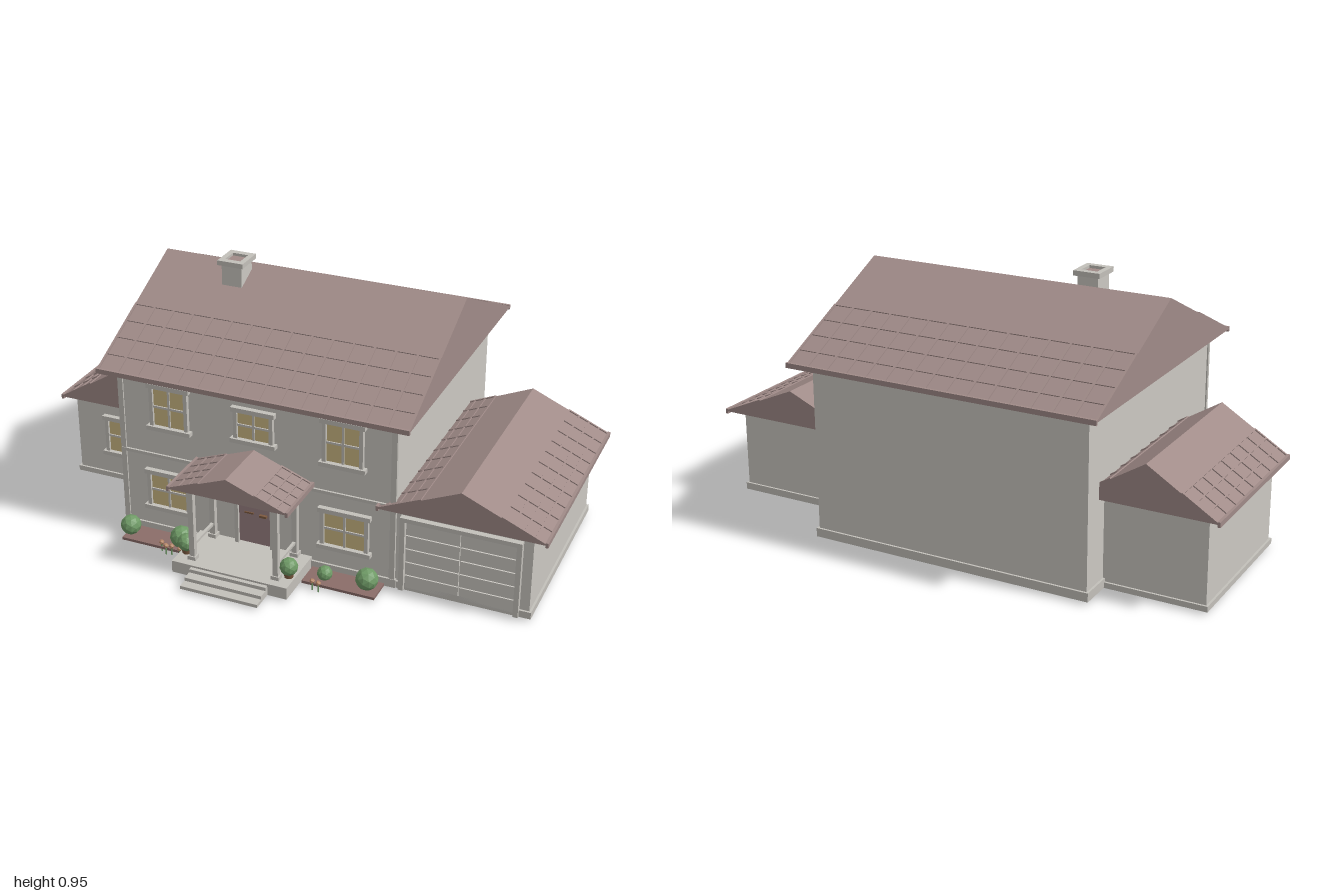
import * as THREE from 'three';
import { mergeGeometries } from 'three/addons/utils/BufferGeometryUtils.js';

function mat(name, color) {
  const m = new THREE.MeshStandardMaterial({ color });
  m.name = name;
  return m;
}

export function createModel() {
  const wall = mat('wall', 0xcbc8c2), trim = mat('trim', 0xc3c0ba), roofMat = mat('roof', 0xa08b88);
  const doorMat = mat('door', 0x9a8082), glass = mat('glass', 0xcdb984), leaf = mat('leaf', 0x6f9a66);
  const soil = mat('soil', 0x8b6d69), lampMat = mat('lamp', 0x7d5a40), petal = mat('petal', 0xb98a6a);
  leaf.flatShading = true;
  const house = new THREE.Group();
  house.name = 'house';

  const add = (geo, m, name, x = 0, y = 0, z = 0, parent = house) => {
    const mesh = new THREE.Mesh(geo, m);
    mesh.name = name;
    mesh.position.set(x, y, z);
    parent.add(mesh);
    return mesh;
  };
  // box given by its limits on each axis
  const span = (name, m, x0, x1, y0, y1, z0, z1, parent = house) =>
    add(new THREE.BoxGeometry(x1 - x0, y1 - y0, z1 - z0), m, name,
      (x0 + x1) / 2, (y0 + y1) / 2, (z0 + z1) / 2, parent);
  const group = (name, x = 0, y = 0, z = 0) => {
    const g = new THREE.Group();
    g.name = name;
    g.position.set(x, y, z);
    house.add(g);
    return g;
  };

  // gable roof with its ridge along z and raised tile joints on the lower slopes
  function gableRoof(name, a, h, len, cols, rows, cover) {
    const g = group(name);
    const tri = new THREE.Shape([[-a, 0], [a, 0], [0, h]].map(p => new THREE.Vector2(...p)));
    const prism = new THREE.ExtrudeGeometry(tri, { depth: len, bevelEnabled: false });
    add(prism.translate(0, 0, -len / 2), roofMat, 'roofBody', 0, 0, 0, g);
    const angle = Math.atan2(h, a), reach = Math.hypot(a, h) * cover, parts = [];
    for (const s of [-1, 1]) {
      const place = (w, d, t, z) => {
        const b = new THREE.BoxGeometry(w, 0.006, d);
        b.rotateZ(-s * angle);
        b.translate(s * (a - t * Math.cos(angle)), t * Math.sin(angle) + 0.001, z);
        parts.push(b);
      };
      for (let i = 0; i <= cols; i++)
        place(reach, 0.008, reach / 2, (i / cols - 0.5) * (len - 0.008));
      for (let j = 1; j <= rows; j++) place(0.006, len, reach * j / rows, 0);
      const gutter = new THREE.BoxGeometry(0.01, 0.018, len);
      parts.push(gutter.translate(s * a, 0, 0));
    }
    add(mergeGeometries(parts), roofMat, 'tileJoints', 0, 0, 0, g);
    return g;
  }

  // walls with plinths
  function block(name, x0, x1, z0, z1, top, plinth) {
    span(name + 'Walls', wall, x0, x1, 0.012, top, z0, z1);
    span(name + 'Plinth', trim, x0 - 0.008, x1 + 0.008, 0.01, plinth, z0 - 0.008, z1 + 0.008);
  }
  block('main', -0.585, 0.462, -0.61, 0.37, 0.656, 0.042);
  block('leftWing', -0.95, -0.57, -0.49, 0.085, 0.336, 0.03);
  block('garage', 0.445, 0.945, -0.385, 0.365, 0.325, 0.036);

  const mainRoof = gableRoof('mainRoof', 0.55, 0.256, 1.165, 15, 4, 0.53);
  mainRoof.rotation.y = Math.PI / 2;
  mainRoof.position.set(-0.058, 0.655, -0.122);
  gableRoof('wingRoof', 0.25, 0.155, 0.645, 8, 3, 0.5).position.set(-0.745, 0.335, -0.2075);
  gableRoof('garageRoof', 0.295, 0.128, 0.83, 10, 4, 0.52).position.set(0.7, 0.327, -0.015);
  gableRoof('porchRoof', 0.222, 0.085, 0.225, 4, 3, 0.52).position.set(-0.063, 0.35, 0.484);

  // front trim
  span('eaveBoard', trim, -0.59, 0.467, 0.636, 0.655, 0.365, 0.385);
  span('floorBand', trim, -0.588, 0.465, 0.325, 0.337, 0.366, 0.378);
  for (const x of [-0.58, 0.455])
    span('cornerBoard', trim, x - 0.01, x + 0.01, 0.04, 0.636, 0.362, 0.376);
  span('garageEaveBoard', trim, 0.45, 0.95, 0.31, 0.327, 0.36, 0.373);

  // windows: pane, surround and crossed bars
  function windowUnit(x, y, w, h, z) {
    const g = group('window', x, y, z);
    const W = w / 2, H = h / 2;
    span('pane', glass, -W, W, -H, H, 0, 0.006, g);
    for (const s of [-1, 1])
      span('jamb', trim, s * W - 0.007, s * W + 0.007, -H, H, 0, 0.016, g);
    span('lintel', trim, -W - 0.015, W + 0.015, H - 0.004, H + 0.013, 0, 0.02, g);
    span('sill', trim, -W - 0.018, W + 0.018, -H - 0.012, -H + 0.004, 0, 0.024, g);
    span('uprightBar', trim, -0.004, 0.004, -H, H, 0, 0.011, g);
    span('crossBar', trim, -W, W, -0.004, 0.004, 0, 0.011, g);
  }
  windowUnit(-0.387, 0.53, 0.135, 0.155, 0.37);
  windowUnit(-0.06, 0.527, 0.135, 0.11, 0.37);
  windowUnit(0.272, 0.53, 0.135, 0.155, 0.37);
  windowUnit(-0.4, 0.192, 0.155, 0.135, 0.37);
  windowUnit(0.28, 0.192, 0.165, 0.135, 0.37);
  windowUnit(-0.747, 0.197, 0.14, 0.14, 0.085);

  // garage door
  const gd = group('garageDoor', 0.697, 0, 0.365);
  for (const s of [-1, 1]) {
    span('garageJamb', trim, s * 0.205 - 0.009, s * 0.205 + 0.009, 0.012, 0.3, 0, 0.02, gd);
    for (let i = 0; i < 5; i++) {
      const y = 0.02 + i * 0.053;
      span('doorPanel', wall, Math.min(0.002 * s, 0.194 * s), Math.max(0.002 * s, 0.194 * s),
        y, y + 0.049, 0, 0.008, gd);
    }
  }
  span('garageLintel', trim, -0.214, 0.214, 0.287, 0.303, 0, 0.022, gd);

  // front door with frame and handle
  const fd = group('frontDoor', -0.06, 0, 0.37);
  span('doorLeaf', doorMat, -0.062, 0.062, 0.06, 0.305, 0, 0.009, fd);
  for (const s of [-1, 1])
    span('doorJamb', trim, s * 0.069 - 0.007, s * 0.069 + 0.007, 0.055, 0.312, 0, 0.02, fd);
  span('doorLintel', trim, -0.078, 0.078, 0.305, 0.32, 0, 0.022, fd);
  span('handle', lampMat, 0.02, 0.048, 0.178, 0.186, 0.009, 0.02, fd);
  span('letterPlate', lampMat, -0.04, -0.005, 0.18, 0.186, 0.009, 0.013, fd);

  // porch floor, steps, columns, beams and rails
  span('porchFloor', trim, -0.285, 0.155, 0.01, 0.055, 0.36, 0.59);
  for (let i = 0; i < 3; i++)
    span('step', trim, -0.21, 0.083, 0.01, 0.022 + i * 0.013, 0.57, 0.675 - i * 0.035);
  for (const s of [-1, 1]) {
    const x = -0.063 + s * 0.16;
    for (const z of [0.545, 0.385]) {
      add(new THREE.BoxGeometry(0.02, 0.285, 0.02), trim, 'column', x, 0.197, z);
      add(new THREE.BoxGeometry(0.03, 0.015, 0.03), trim, 'columnBase', x, 0.062, z);
      add(new THREE.BoxGeometry(0.03, 0.012, 0.03), trim, 'columnCap', x, 0.332, z);
    }
    span('sideBeam', trim, x - 0.012, x + 0.012, 0.335, 0.352, 0.37, 0.565);
    span('handrail', trim, x - 0.005, x + 0.005, 0.105, 0.115, 0.39, 0.54);
    // wall lanterns
    const lx = -0.065 + s * 0.112;
    span('lanternBody', lampMat, lx - 0.012, lx + 0.012, 0.228, 0.276, 0.37, 0.39);
    span('lanternGlow', glass, lx - 0.007, lx + 0.007, 0.237, 0.265, 0.389, 0.393);
  }
  span('frontBeam', trim, -0.235, 0.109, 0.335, 0.352, 0.535, 0.557);

  // chimney with hollow cap
  span('chimneyStack', wall, -0.36, -0.282, 0.8, 0.94, -0.093, -0.007);
  const cap = new THREE.Shape([[-0.05, -0.056], [0.05, -0.056], [0.05, 0.056], [-0.05, 0.056]]
    .map(p => new THREE.Vector2(...p)));
  cap.holes.push(new THREE.Path([[-0.03, -0.032], [-0.03, 0.032], [0.03, 0.032], [0.03, -0.032]]
    .map(p => new THREE.Vector2(...p))));
  const capGeo = new THREE.ExtrudeGeometry(cap, { depth: 0.018, bevelEnabled: false });
  add(capGeo.rotateX(-Math.PI / 2), trim, 'chimneyCap', -0.321, 0.936, -0.05);
  span('flue', roofMat, -0.351, -0.291, 0.938, 0.944, -0.082, -0.018);

  // garden beds, bushes and flowers
  span('leftBed', soil, -0.55, -0.29, 0.01, 0.02, 0.37, 0.475);
  span('rightBed', soil, 0.16, 0.43, 0.01, 0.02, 0.37, 0.475);
  const bushes = [[-0.54, 0.048, 0.425, 0.038], [-0.33, 0.05, 0.43, 0.042], [-0.262, 0.097, 0.52, 0.033],
    [0.133, 0.097, 0.52, 0.033], [0.227, 0.037, 0.425, 0.028], [0.382, 0.05, 0.42, 0.041]];
  for (const [x, y, z, r] of bushes) {
    add(new THREE.IcosahedronGeometry(r, 1), leaf, 'bush', x, y, z);
    if (y > 0.08) add(new THREE.CylinderGeometry(0.02, 0.015, 0.03, 8), lampMat, 'plantPot', x, 0.065, z);
  }
  const flowers = [[-0.39, 0.47], [-0.365, 0.485], [-0.345, 0.48], [-0.31, 0.485], [0.205, 0.485], [0.23, 0.49]];
  for (const [x, z] of flowers) {
    add(new THREE.CylinderGeometry(0.003, 0.003, 0.035, 5), leaf, 'flowerStem', x, 0.0175, z);
    add(new THREE.IcosahedronGeometry(0.01, 0), petal, 'flowerHead', x, 0.036, z);
  }
  return house;
}
